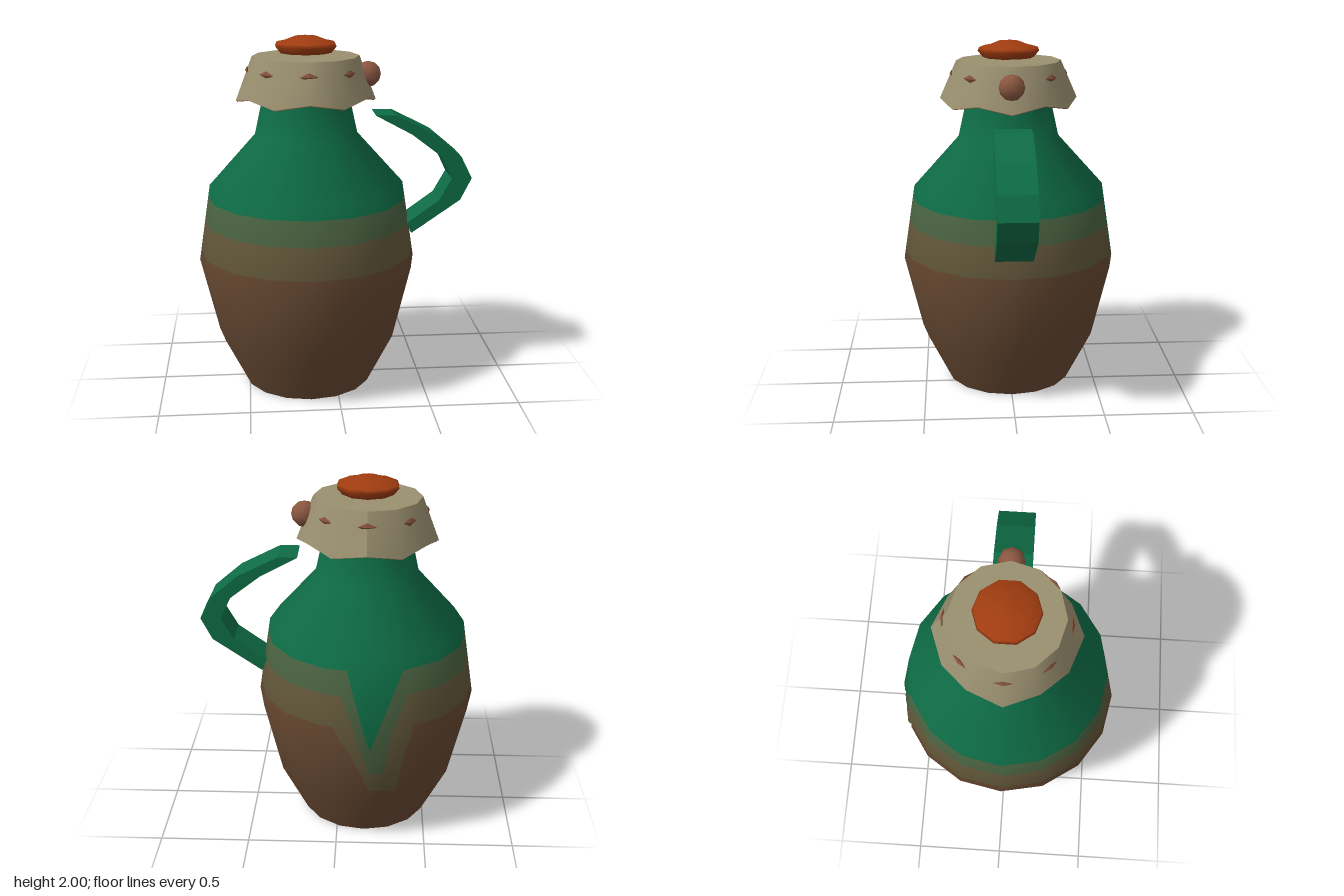
import * as THREE from 'three';

const AXIS = -0.155; // the jug stands off centre to leave room for the handle
const DEG = Math.PI / 180;

const paint = (name, color, side = THREE.FrontSide) => {
  const m = new THREE.MeshStandardMaterial({ color, side });
  m.name = name;
  return m;
};

// Jug profile as [radius, height]
const PROFILE = [[0.365, 0], [0.515, 0.3], [0.617, 0.73], [0.548, 1.17], [0.287, 1.46], [0.238, 1.68], [0.22, 1.86]];
const SLOPES = PROFILE.slice(1).map(([r, y], i) => {
  const [r0, y0] = PROFILE[i];
  return new THREE.Vector2(y - y0, r0 - r).normalize();
});
const NORMALS = PROFILE.map((_, i) =>
  SLOPES[Math.max(i - 1, 0)].clone().add(SLOPES[Math.min(i, SLOPES.length - 1)]).normalize());

// Lower edges of the glaze layers as [degrees from the back, height], with a drip at the back
const GLAZE = [[-10, 1.105], [-4, 0.9], [3, 0.65], [7, 0.78], [21, 1.105]];
const FADE = [[-13, 0.965], [-6, 0.8], [1, 0.55], [4, 0.48], [11, 0.48], [14, 0.76], [23, 0.965]];
const STAIN = [[-17, 0.79], [-8, 0.63], [3, 0.36], [20, 0.345], [22, 0.64], [26, 0.79]];

function edgeHeight(keys, a) {
  for (let i = 1; i < keys.length; i++) {
    const [a0, y0] = keys[i - 1], [a1, y1] = keys[i];
    if (a >= a0 && a <= a1) return y0 + (y1 - y0) * (a - a0) / (a1 - a0);
  }
  return keys[0][1];
}

const columns = new Set([...GLAZE, ...FADE, ...STAIN].map(k => k[0]));
for (let i = 0; i <= 16; i++) columns.add(-180 + i * 22.5);
const ANGLES = [...columns].sort((a, b) => a - b);

// Grid of points (columns run counterclockwise from above) turned into faces
function gridIndex(cols, rows) {
  const index = [];
  for (let i = 0; i < cols - 1; i++) for (let j = 0; j < rows - 1; j++) {
    const a = i * rows + j, b = a + rows;
    index.push(a, b, b + 1, a, b + 1, a + 1);
  }
  return index;
}

// One colour layer of the sixteen-sided jug wall between two edges
function wallBand(low, high) {
  const pos = [], nor = [];
  for (const a of ANGLES) {
    const lo = low(a), hi = high(a);
    const heights = [lo, ...PROFILE.map(p => THREE.MathUtils.clamp(p[1], lo, hi)), hi];
    const s = -Math.sin(a * DEG), c = -Math.cos(a * DEG);
    const off = ((a + 360) % 22.5) - 11.25;
    const facet = Math.cos(11.25 * DEG) / Math.cos(off * DEG);
    for (const y of heights) {
      let k = 0;
      while (k < PROFILE.length - 2 && y > PROFILE[k + 1][1]) k++;
      const t = (y - PROFILE[k][1]) / (PROFILE[k + 1][1] - PROFILE[k][1]);
      const r = THREE.MathUtils.lerp(PROFILE[k][0], PROFILE[k + 1][0], t) * facet;
      const n = NORMALS[k].clone().lerp(NORMALS[k + 1], t).normalize();
      pos.push(s * r, y, c * r);
      nor.push(s * n.x, n.y, c * n.x);
    }
  }
  const g = new THREE.BufferGeometry();
  g.setAttribute('position', new THREE.Float32BufferAttribute(pos, 3));
  g.setAttribute('normal', new THREE.Float32BufferAttribute(nor, 3));
  g.setIndex(gridIndex(ANGLES.length, PROFILE.length + 2));
  return g;
}

// Flared cloth skirt with an uneven hem
function skirt(inset) {
  const pos = [];
  for (let i = 0; i <= 12; i++) {
    const a = i * 30 * DEG, k = i % 12;
    const hem = 0.378 + 0.012 * Math.cos(k * 2.1) - inset;
    const y = (k % 2 ? 1.645 : 1.68) - inset * 0.6;
    const top = 0.296 - inset;
    pos.push(-Math.sin(a) * hem, y, -Math.cos(a) * hem, -Math.sin(a) * top, 1.892 - inset, -Math.cos(a) * top);
  }
  const g = new THREE.BufferGeometry();
  g.setAttribute('position', new THREE.Float32BufferAttribute(pos, 3));
  g.setIndex(gridIndex(13, 2));
  g.computeVertexNormals();
  return g;
}

export function createModel() {
  const model = new THREE.Group();
  model.name = 'jug';
  const green = paint('green glaze', 0x0e6b45);
  const fade = paint('faded glaze', 0x48603f);
  const stain = paint('olive stain', 0x62573a);
  const clay = paint('brown clay', 0x664831);
  const cloth = paint('beige cloth', 0x9a9070);
  const lining = paint('red brown lining', 0x85503a, THREE.DoubleSide);
  const wax = paint('orange wax', 0xa03c10);
  const bead = paint('bead brown', 0x8a5740);

  const add = (name, geometry, material, x = AXIS, y = 0, z = 0) => {
    const m = new THREE.Mesh(geometry, material);
    m.name = name;
    m.position.set(x, y, z);
    model.add(m);
    return m;
  };

  // Jug wall in four layers, and its base
  const edge = keys => a => edgeHeight(keys, a);
  add('clayWall', wallBand(() => 0, edge(STAIN)), clay);
  add('stainBand', wallBand(edge(STAIN), edge(FADE)), stain);
  add('fadeBand', wallBand(edge(FADE), edge(GLAZE)), fade);
  add('glazedWall', wallBand(edge(GLAZE), () => 1.86), green);
  add('base', new THREE.CircleGeometry(0.365, 16).rotateX(Math.PI / 2), clay);

  // Bent strap handle
  const strap = new THREE.Shape([
    [0.225, 1.57], [0.43, 1.46], [0.6, 1.33], [0.66, 1.205], [0.59, 1.08], [0.41, 0.95],
    [0.435, 0.89], [0.71, 1.08], [0.773, 1.205], [0.71, 1.33], [0.555, 1.46], [0.335, 1.57],
  ].map(p => new THREE.Vector2(...p)));
  add('handle', new THREE.ExtrudeGeometry(strap, { depth: 0.21, bevelEnabled: false }), green, 0, 0, -0.105);

  // Cloth cover with its lining
  add('coverSkirt', skirt(0), cloth);
  add('coverTop', new THREE.CircleGeometry(0.296, 12).rotateX(-Math.PI / 2), cloth, AXIS, 1.892);
  add('coverLining', skirt(0.008), lining);

  // Slits around the cover, leaving the bead's place free
  for (let i = 1; i < 8; i++) {
    const a = i * Math.PI / 4;
    const r = i % 2 ? 0.314 : 0.322;
    const slit = add('slit', new THREE.OctahedronGeometry(1), lining,
      AXIS + Math.cos(a) * r, 1.817, Math.sin(a) * r);
    slit.scale.set(0.05, 0.022, 0.012);
    slit.rotation.y = Math.PI / 2 - a;
  }
  add('bead', new THREE.SphereGeometry(0.072, 8, 6), bead, 0.19, 1.787);

  // Wax stopper
  const stopper = [[0, 1.91], [0.145, 1.91], [0.174, 1.945], [0.166, 1.965], [0.12, 1.975], [0.06, 1.998], [0, 2]];
  add('stopper', new THREE.LatheGeometry(stopper.map(p => new THREE.Vector2(...p)), 10), wax);
  return model;
}
